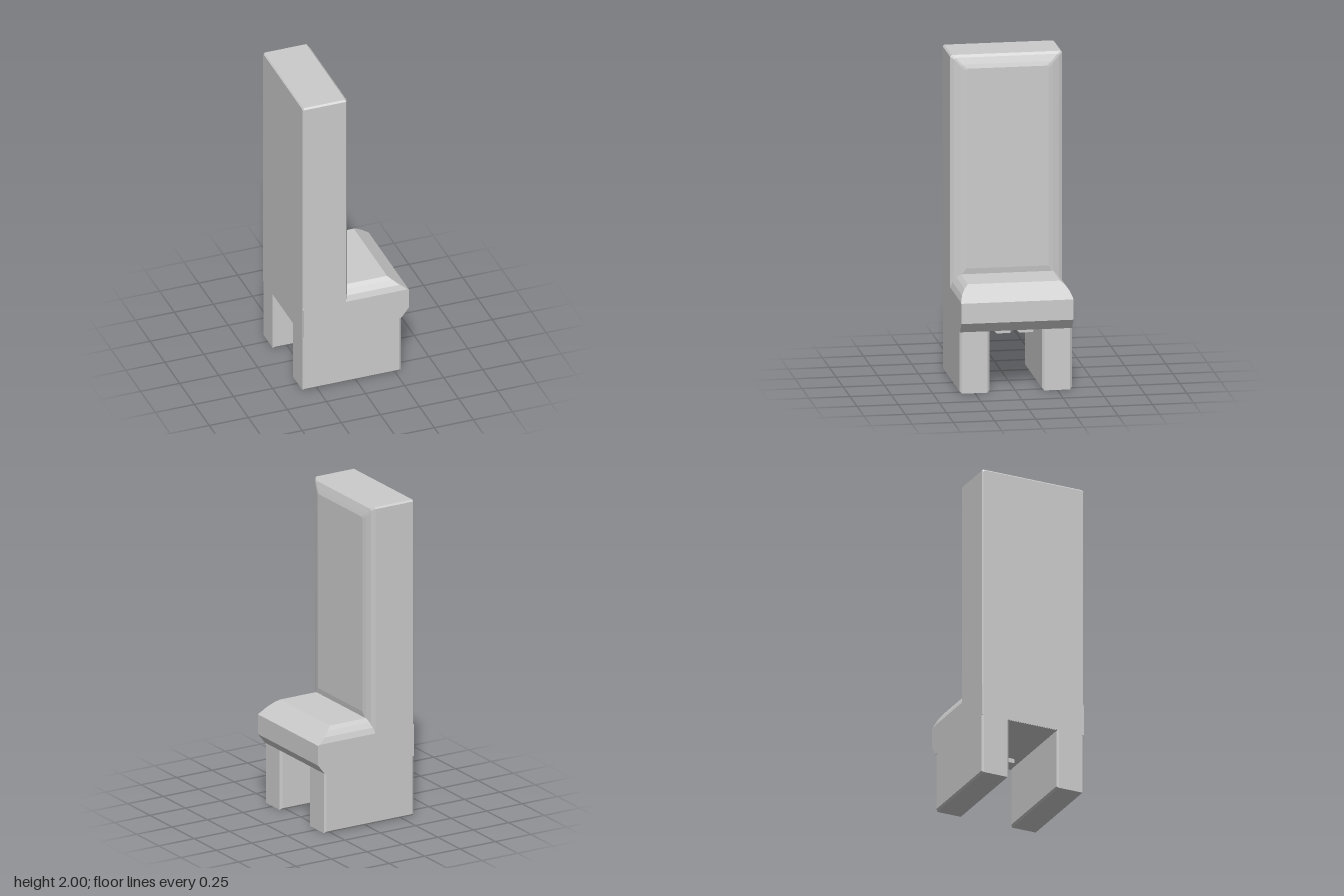
import * as THREE from 'three';

const material = new THREE.MeshStandardMaterial({ color: 0xcccccc, flatShading: true });

// Skin a run of convex rings (counter-clockwise about the travel axis) and cap both ends.
function loft(name, rings) {
  const pos = [];
  const tri = (a, b, c) => pos.push(...a, ...b, ...c);
  const n = rings[0].length;
  for (let r = 0; r < rings.length - 1; r++) {
    const a = rings[r], b = rings[r + 1];
    for (let i = 0; i < n; i++) {
      const j = (i + 1) % n;
      tri(a[i], a[j], b[j]);
      tri(a[i], b[j], b[i]);
    }
  }
  const first = rings[0], last = rings[rings.length - 1];
  for (let i = 1; i < n - 1; i++) {
    tri(first[0], first[i + 1], first[i]);
    tri(last[0], last[i], last[i + 1]);
  }
  const geometry = new THREE.BufferGeometry();
  geometry.setAttribute('position', new THREE.Float32BufferAttribute(pos, 3));
  geometry.computeVertexNormals();
  const mesh = new THREE.Mesh(geometry, material);
  mesh.name = name;
  return mesh;
}

// Block with chamfered rims on its two z faces
function chamferedBlock(name, [x0, x1], [y0, y1], [z0, z1], c) {
  const ring = (z, i) => [
    [x0 + i, y0 + i, z], [x1 - i, y0 + i, z], [x1 - i, y1, z], [x0 + i, y1, z],
  ];
  return loft(name, [ring(z0, c), ring(z0 + c, 0), ring(z1 - c, 0), ring(z1, c)]);
}

// Tall backrest: softened front rim ending in a flat panel
function backrest() {
  const c = 0.01;
  const sections = [ // x, half width, bottom, top
    [-0.34, 0.332, 0.38, 1.992],
    [-0.332, 0.34, 0.38, 2],
    [-0.065, 0.34, 0.38, 2],
    [-0.05, 0.318, 0.38, 1.985],
    [-0.037, 0.28, 0.64, 1.945],
    [-0.03, 0.25, 0.69, 1.92],
  ];
  return loft('backrest', sections.map(([x, w, y0, y1]) => [
    [x, y0, -w], [x, y1 - c, -w], [x, y1, -w + c],
    [x, y1, w - c], [x, y1 - c, w], [x, y0, w],
  ]));
}

// Seat: overhanging front nose, long top edges rounded off towards the sides
function seat() {
  const half = [[0.34, 0.57], [0.327, 0.605], [0.305, 0.635], [0.28, 0.655]]; // z, top
  const ring = (z, top) => {
    const noseX = THREE.MathUtils.mapLinear(top, 0.565, 0.655, 0.337, 0.22);
    return [
      [-0.338, 0.378, z], [0.29, 0.378, z], [0.338, 0.44, z],
      [0.338, 0.565, z], [noseX, top, z], [-0.338, top, z],
    ];
  };
  return loft('seat', [
    ...half.map(([z, t]) => ring(-z, t)),
    ...half.slice().reverse().map(([z, t]) => ring(z, t)),
  ]);
}

export function createModel() {
  const group = new THREE.Group();
  group.name = 'highBackChair';
  group.add(backrest(), seat());

  for (const side of [-1, 1]) {
    // Slab legs
    const zs = [side * 0.16, side * 0.34].sort((a, b) => a - b);
    const leg = chamferedBlock('sideLeg', [-0.34, 0.29], [0, 0.38], zs, 0.012);
    group.add(leg);

    // Small lugs under the seat
    const lugZ = [side * 0.012, side * 0.125].sort((a, b) => a - b);
    group.add(chamferedBlock('undersideLug', [0.14, 0.24], [0.35, 0.38], lugZ, 0.015));
  }
  return group;
}
